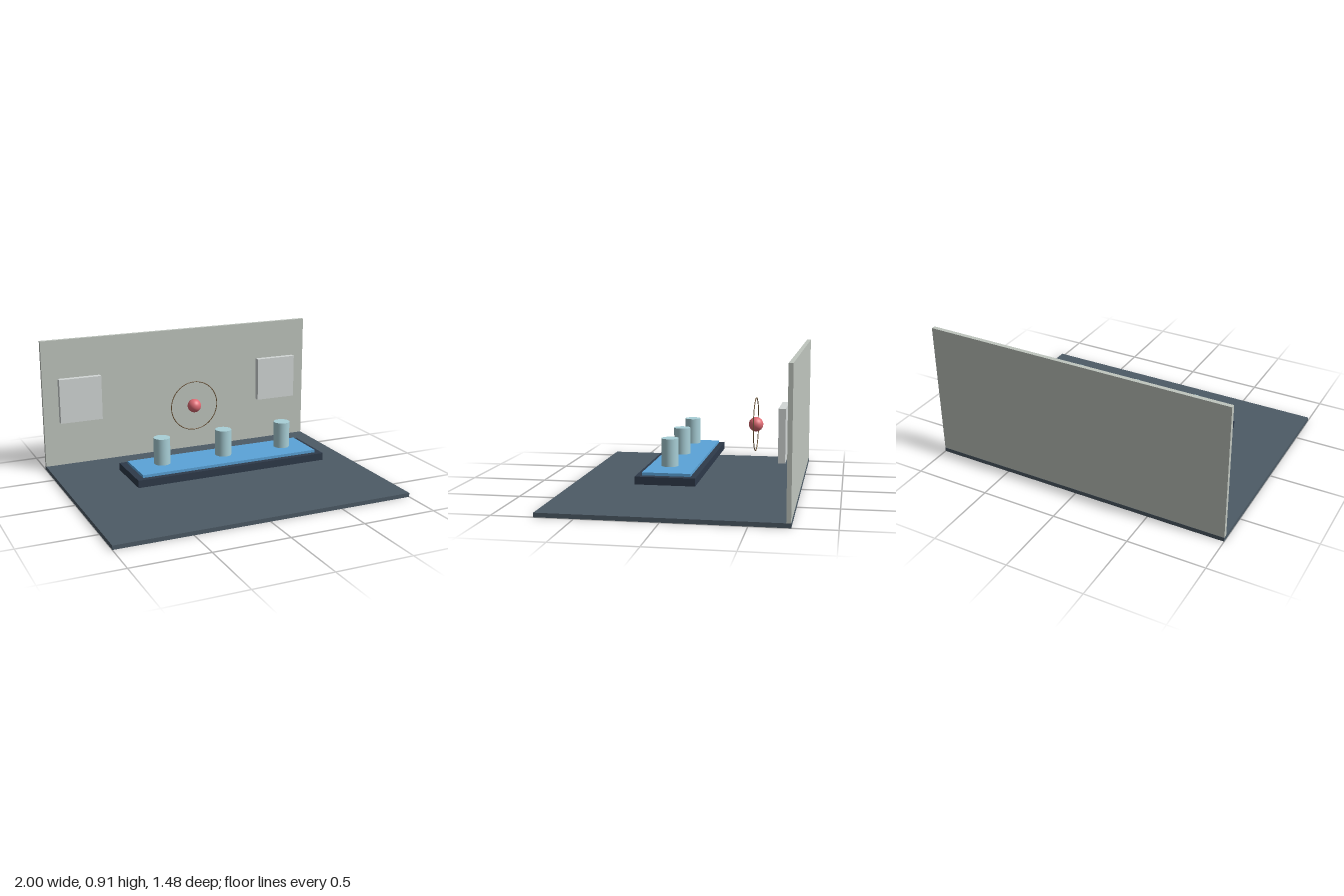
import * as THREE from 'three';

export function createModel() {
  const group = new THREE.Group();
  group.name = 'displayRoom';

  const add = (name, geometry, color, x, y, z) => {
    const mesh = new THREE.Mesh(geometry, new THREE.MeshStandardMaterial({ color }));
    mesh.name = name;
    mesh.position.set(x, y, z);
    group.add(mesh);
    return mesh;
  };

  // Box given by its extents on each axis
  const addBox = (name, color, [x0, x1], [y0, y1], [z0, z1]) =>
    add(name, new THREE.BoxGeometry(x1 - x0, y1 - y0, z1 - z0), color,
      (x0 + x1) / 2, (y0 + y1) / 2, (z0 + z1) / 2);

  // Room shell
  addBox('floor', 0x4d5b66, [-1, 1], [0, 0.027], [-0.74, 0.74]);
  addBox('backWall', 0xc0c6bf, [-1, 1], [0.027, 0.911], [-0.739, -0.712]);

  // Floating table: dark base with a blue top
  addBox('tableBase', 0x2e3a4a, [-0.654, 0.654], [0.138, 0.186], [-0.147, 0.221]);
  addBox('tableTop', 0x5ba4d9, [-0.61, 0.61], [0.186, 0.204], [-0.111, 0.185]);

  // Three cylinders hovering over the table
  for (const x of [-0.43, 0, 0.43]) {
    add('cylinder', new THREE.CylinderGeometry(0.053, 0.053, 0.172, 32), 0xa9d0d8, x, 0.302, 0.047);
  }

  // Wall panels, mirrored left and right
  for (const side of [-1, 1]) {
    const panel = addBox('wallPanel', 0xd3d8d7, [0.6, 0.897], [0.341, 0.648], [-0.694, -0.654]);
    panel.position.x *= side;
  }

  // Ball inside a thin ring
  add('ball', new THREE.SphereGeometry(0.047, 32, 20), 0xe06c75, 0, 0.422, -0.44);
  add('ring', new THREE.TorusGeometry(0.171, 0.003, 8, 64), 0x6b5335, 0, 0.422, -0.44);

  return group;
}
